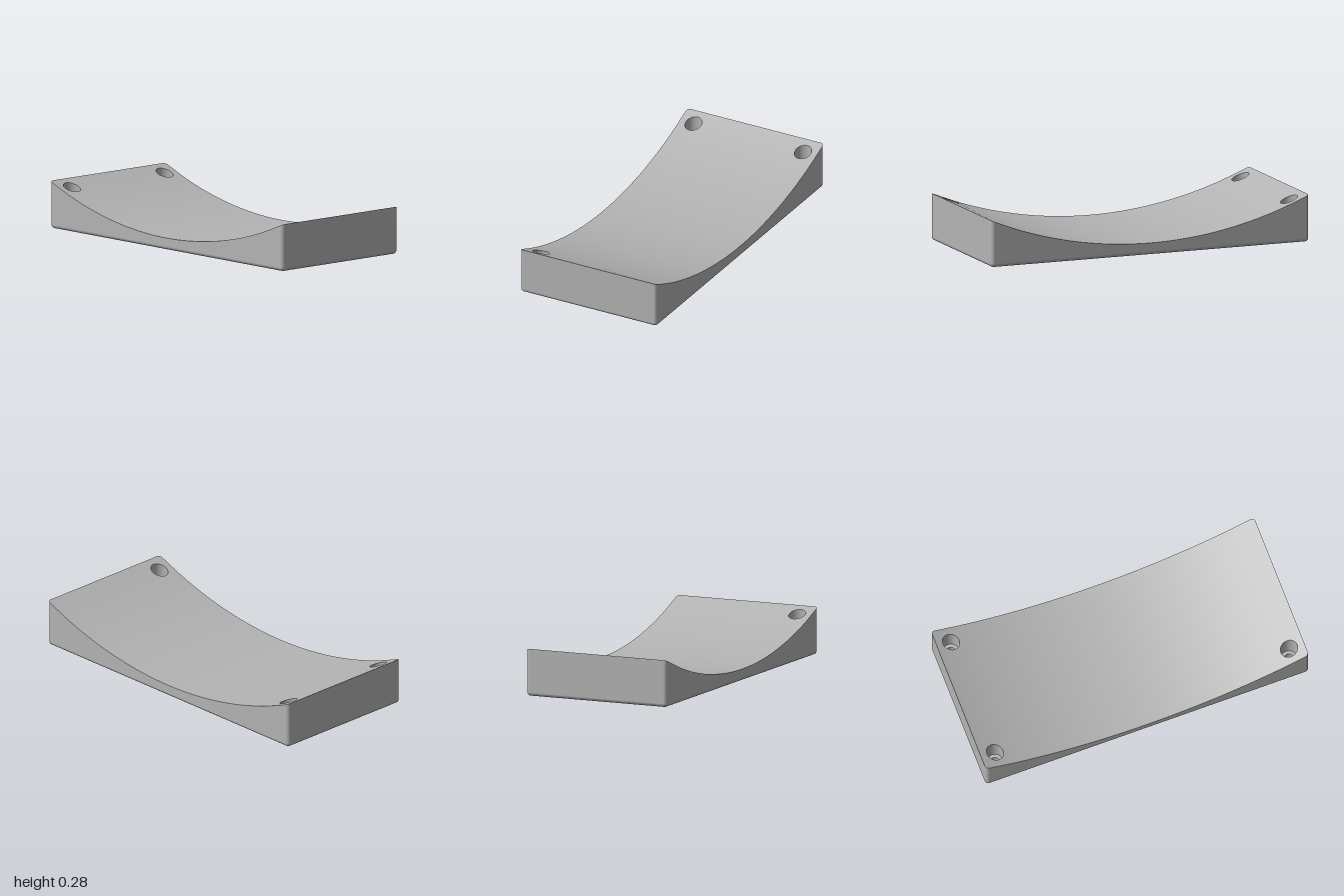
import * as THREE from 'three';

const HALF_X = 1, HALF_Z = 0.453, FILLET = 0.022;
const LOW = 0.07, HIGH = 0.278;                 // height of the dished top: middle and ends
const SAG = HIGH - LOW, ARC_R = (1 + SAG * SAG) / (2 * SAG);
const END_X = 0.84, STEPS = 48;                 // flat-triangulated ends start here
const BORE = 0.05, BOLT = 0.03, BORE_FLOOR = 0.07;
const HOLES = [[-0.91, -0.363], [-0.91, 0.363], [0.91, 0.363]];

const topY = x => LOW + ARC_R - Math.sqrt(ARC_R * ARC_R - x * x);
const topNormal = x => [-x / ARC_R, Math.sqrt(1 - (x / ARC_R) ** 2), 0];

// Surface through rows of [x, y, z, nx, ny, nz], each triangle wound to face its normal
function loft(rows) {
  const cols = rows[0].length, flat = rows.flat(), index = [];
  const v = i => new THREE.Vector3(...flat[i].slice(0, 3));
  const add = (a, b, c) => {
    const n = v(b).sub(v(a)).cross(v(c).sub(v(a)));
    if (n.length() < 1e-10) return;
    const want = new THREE.Vector3();
    for (const i of [a, b, c]) want.add(new THREE.Vector3(...flat[i].slice(3)));
    index.push(...(n.dot(want) > 0 ? [a, b, c] : [a, c, b]));
  };
  for (let r = 0; r + 1 < rows.length; r++) {
    for (let c = 0; c + 1 < cols; c++) {
      const i = r * cols + c;
      add(i, i + 1, i + cols);
      add(i + 1, i + cols + 1, i + cols);
    }
  }
  const g = new THREE.BufferGeometry();
  g.setAttribute('position', new THREE.Float32BufferAttribute(flat.flatMap(p => p.slice(0, 3)), 3));
  g.setAttribute('normal', new THREE.Float32BufferAttribute(flat.flatMap(p => p.slice(3)), 3));
  g.setIndex(index);
  return g;
}

// Rounded rectangle seen from above: core point plus outward direction
function outline() {
  const pts = [];
  const cx = HALF_X - FILLET, cz = HALF_Z - FILLET;
  const corner = (sx, sz, start) => {
    for (let i = 0; i <= 6; i++) {
      const a = start + i / 6 * Math.PI / 2;
      pts.push({ x: sx * cx, z: sz * cz, nx: Math.cos(a), nz: Math.sin(a) });
    }
  };
  const edge = s => {
    for (let i = 0; i <= STEPS; i++) {
      pts.push({ x: s * END_X * (1 - 2 * i / STEPS), z: s * cz, nx: 0, nz: s });
    }
  };
  corner(1, 1, 0);
  edge(1);
  corner(-1, 1, Math.PI / 2);
  corner(-1, -1, Math.PI);
  edge(-1);
  corner(1, -1, Math.PI * 1.5);
  return pts;
}

function circle(cx, cz, r) {
  return Array.from({ length: 33 }, (_, i) => {
    const a = i / 32 * Math.PI * 2;
    return { x: cx + r * Math.cos(a), z: cz + r * Math.sin(a), nx: -Math.cos(a), nz: -Math.sin(a) };
  });
}

// Horizontal plate with round holes, facing up or down
function plate(points, holes, radius, up) {
  const s = up ? -1 : 1;
  const to2 = p => new THREE.Vector2(p.x, s * p.z);
  const shape = new THREE.Shape(points.map(to2));
  for (const [x, z] of holes) {
    shape.holes.push(new THREE.Path(circle(x, z, radius).slice(0, 32).map(to2)));
  }
  return new THREE.ShapeGeometry(shape).rotateX(s * Math.PI / 2);
}

export function createModel() {
  const model = new THREE.Group();
  model.name = 'saddleBlock';
  const grey = new THREE.MeshStandardMaterial({ color: 0xb4b4b4 });
  grey.name = 'grey';
  const add = (name, geometry, parent = model) => {
    const mesh = new THREE.Mesh(geometry, grey);
    mesh.name = name;
    parent.add(mesh);
  };

  const rim = outline();
  const outer = rim.map(p => ({ x: p.x + FILLET * p.nx, z: p.z + FILLET * p.nz }));

  // Side walls with rounded bottom edge
  const rows = [];
  for (let i = 0; i <= 6; i++) {
    const a = i / 6 * Math.PI / 2, c = Math.sin(a), d = Math.cos(a);
    rows.push(rim.map(p => [p.x + FILLET * c * p.nx, FILLET * (1 - d), p.z + FILLET * c * p.nz,
      p.nx * c, -d, p.nz * c]));
  }
  rows.push(rim.map((p, i) => [outer[i].x, topY(outer[i].x), outer[i].z, p.nx, 0, p.nz]));
  add('sideWalls', loft(rows.map(r => [...r, r[0]])));

  // Underside
  add('underside', plate(rim.filter((p, i) => {
    const q = rim[(i + 1) % rim.length];
    return p.x !== q.x || p.z !== q.z;
  }), HOLES, BOLT, false));

  // Dished top, middle stretch
  add('dishedTop', loft([-HALF_Z, HALF_Z].map(z => Array.from({ length: STEPS + 1 }, (_, i) => {
    const x = END_X * (2 * i / STEPS - 1);
    return [x, topY(x), z, ...topNormal(x)];
  }))));

  // Dished top, drilled ends bent onto the same arc
  for (const s of [-1, 1]) {
    const g = plate(outer.filter(p => p.x * s > END_X - 1e-6), HOLES.filter(h => h[0] * s > 0), BORE, true);
    const pos = g.attributes.position;
    for (let i = 0; i < pos.count; i++) {
      const x = pos.getX(i);
      pos.setY(i, topY(x));
      g.attributes.normal.setXYZ(i, ...topNormal(x));
    }
    add(s > 0 ? 'leftTopEnd' : 'rightTopEnd', g);
  }

  // Counterbored screw holes
  for (const [x, z] of HOLES) {
    const hole = new THREE.Group();
    hole.name = 'screwHole';
    const wall = (r, y) => circle(x, z, r).map(p => [p.x, y ?? topY(p.x), p.z, p.nx, 0, p.nz]);
    const ring = r => circle(x, z, r).map(p => [p.x, BORE_FLOOR, p.z, 0, 1, 0]);
    add('counterbore', loft([wall(BORE, BORE_FLOOR), wall(BORE)]), hole);
    add('boreFloor', loft([ring(BOLT), ring(BORE)]), hole);
    add('boltHole', loft([wall(BOLT, 0), wall(BOLT, BORE_FLOOR)]), hole);
    model.add(hole);
  }
  return model;
}
